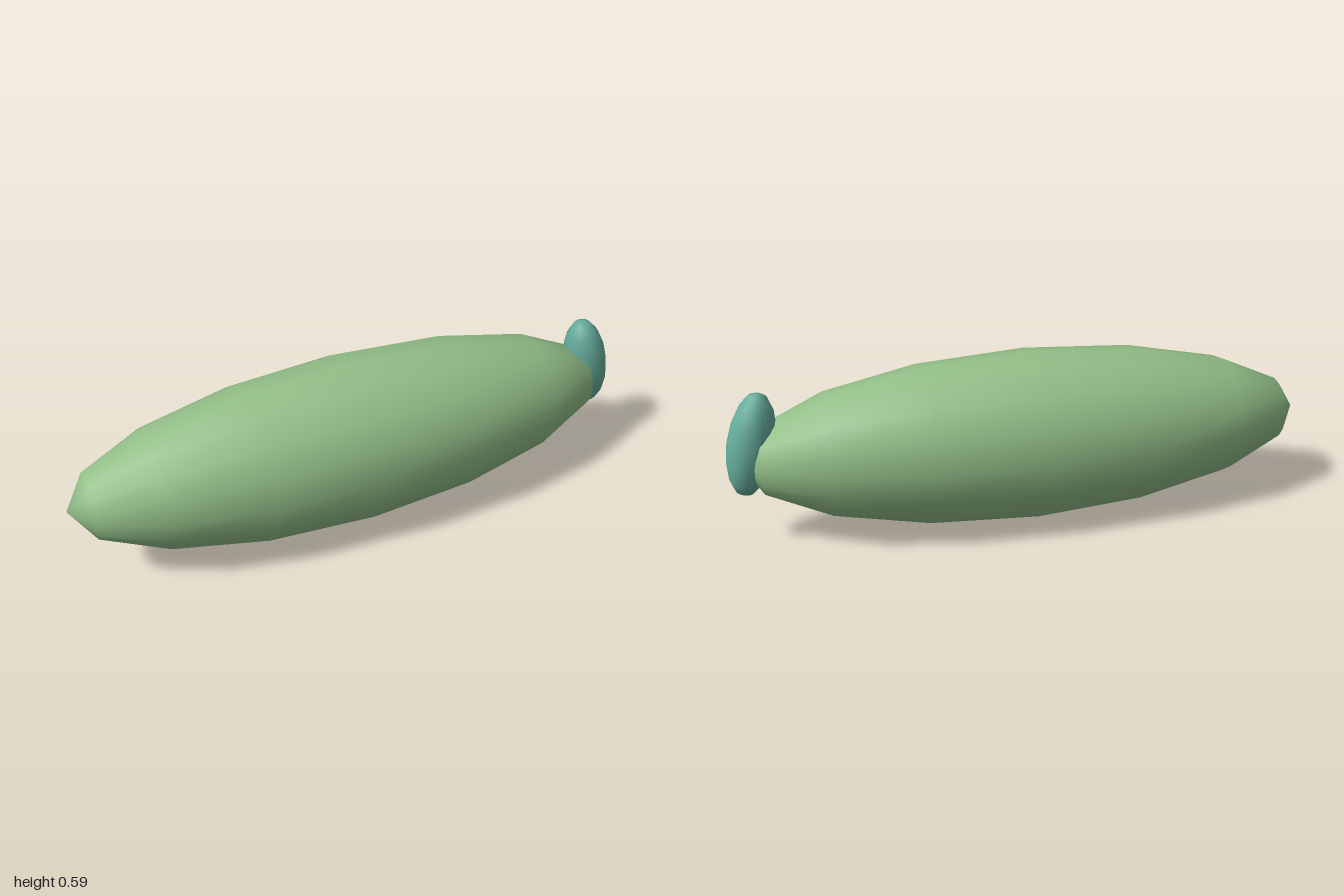
import * as THREE from 'three';

// Smooth ellipsoid with its poles along the local y axis
function ellipsoid(name, material, radii, position, tilt) {
  const mesh = new THREE.Mesh(new THREE.SphereGeometry(1, 16, 8), material);
  mesh.name = name;
  mesh.scale.set(...radii);
  mesh.position.set(...position);
  mesh.rotation.z = tilt;
  return mesh;
}

export function createModel() {
  const leafGreen = new THREE.MeshStandardMaterial({ color: 0x93bf88 });
  leafGreen.name = 'leafGreen';
  const teal = new THREE.MeshStandardMaterial({ color: 0x66ad9c });
  teal.name = 'teal';

  const model = new THREE.Group();
  model.name = 'podModel';

  // Long body lying along x
  model.add(ellipsoid('body', leafGreen, [0.294, 0.98, 0.282], [-0.02, 0.297, 0], Math.PI / 2));

  // Slim tilted cap at the left end
  model.add(ellipsoid('endCap', teal, [0.078, 0.1825, 0.079], [0.913, 0.358, 0], 0.215));

  return model;
}
